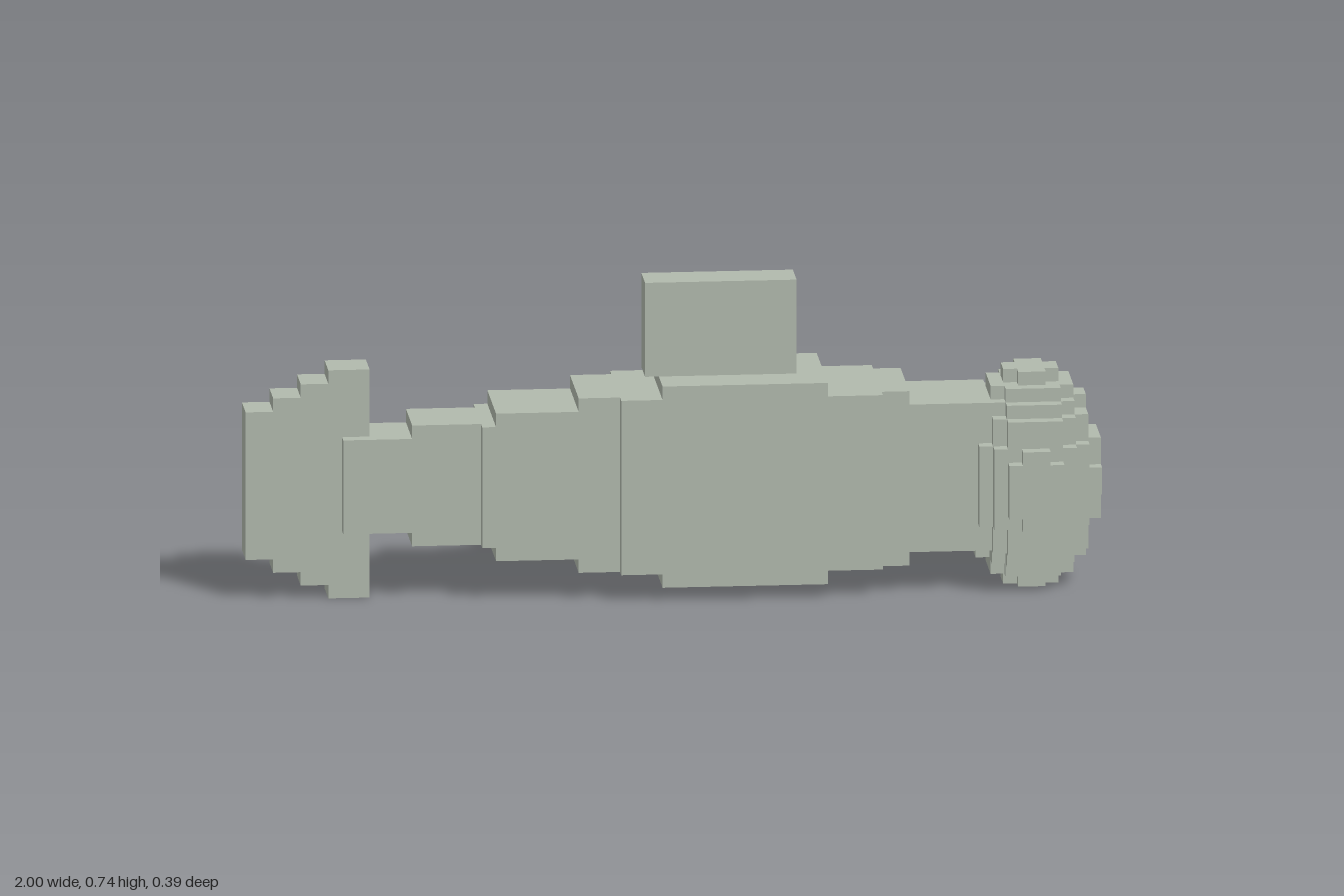
import * as THREE from 'three';
import { mergeGeometries } from 'three/addons/utils/BufferGeometryUtils.js';

// Everything sits on a block grid, 62 blocks long; x counts from the tail tip.
const U = 2 / 62;
const MID = 31;

function makeMaterial(name, color) {
  const m = new THREE.MeshStandardMaterial({ color });
  m.name = name;
  return m;
}

// Box between two grid corners
function block(x0, x1, y0, y1, z0, z1) {
  const g = new THREE.BoxGeometry((x1 - x0) * U, (y1 - y0) * U, (z1 - z0) * U);
  g.translate(((x0 + x1) / 2 - MID) * U, ((y0 + y1) / 2) * U, ((z0 + z1) / 2) * U);
  return g;
}

const inEye = (x, y, z) => x >= 56 && x < 59 && y >= 9 && y < 12 && z >= -6 && z < -4;
const inHead = (x, y, z) =>
  ((x - 56.5) / 5) ** 2 + ((y - 7.5) / 8) ** 2 + ((z + 0.5) / 6) ** 2 < 1;

// Outer faces of the blocky egg-shaped head
function headGeometry() {
  const dirs = [[1, 0, 0], [-1, 0, 0], [0, 1, 0], [0, -1, 0], [0, 0, 1], [0, 0, -1]];
  const faces = dirs.map(([dx, dy, dz]) => {
    const g = new THREE.PlaneGeometry(U, U);
    if (dx) g.rotateY(dx * Math.PI / 2);
    else if (dy) g.rotateX(-dy * Math.PI / 2);
    else if (dz < 0) g.rotateY(Math.PI);
    return g.translate(dx * U / 2, dy * U / 2, dz * U / 2);
  });
  const parts = [];
  for (let x = 52; x < 62; x++)
    for (let y = 0; y < 16; y++)
      for (let z = -6; z < 6; z++) {
        if (!inHead(x, y, z) || inEye(x, y, z)) continue;
        dirs.forEach(([dx, dy, dz], i) => {
          const n = [x + dx, y + dy, z + dz];
          if (inHead(...n) || inEye(...n)) return;
          parts.push(faces[i].clone().translate((x + 0.5 - MID) * U, (y + 0.5) * U, (z + 0.5) * U));
        });
      }
  return mergeGeometries(parts);
}

// Thin upright stripe with clipped corners
function stripeGeometry(x0, x1, y0, y1, z, bevel) {
  const b = bevel;
  const pts = [
    [x0 + b, y0], [x1 - b, y0], [x1, y0 + 2 * b], [x1, y1 - 2 * b],
    [x1 - b, y1], [x0 + b, y1], [x0, y1 - 2 * b], [x0, y0 + 2 * b],
  ].map(([x, y]) => new THREE.Vector2((x - MID) * U, y * U));
  const g = new THREE.ExtrudeGeometry(new THREE.Shape(pts), { depth: 0.005, bevelEnabled: false });
  return g.translate(0, 0, z * U - 0.004);
}

export function createModel() {
  const model = new THREE.Group();
  model.name = 'blockFish';
  const skin = makeMaterial('greyGreenSkin', 0xb1b9ad);
  const blue = makeMaterial('blueStripe', 0x364c70);
  const dark = makeMaterial('darkEye', 0x222c23);
  const white = makeMaterial('eyeGlint', 0xe4e8e2);

  const add = (parent, name, geometry, material) => {
    const mesh = new THREE.Mesh(geometry, material);
    mesh.name = name;
    parent.add(mesh);
  };
  const group = (name) => {
    const g = new THREE.Group();
    g.name = name;
    model.add(g);
    return g;
  };

  // Body slices: x0, x1, y0, y1, z0, z1
  const body = group('body');
  [
    [7, 12, 5, 12, -3, 2],
    [12, 17, 4, 13, -3, 2],
    [17, 18, 4, 13, -4, 3],
    [18, 24, 3, 14, -4, 3],
    [24, 27, 2, 15, -4, 3],
    [27, 30, 2, 15, -5, 4],
    [30, 42, 1, 16, -5, 4],
    [42, 46, 2, 15, -5, 4],
    [46, 48, 2, 15, -4, 3],
    [48, 54, 3, 14, -4, 3],
  ].forEach((s) => add(body, 'bodySection', block(...s), skin));

  // Tail fin, stepped at its outer corners
  const tail = group('tailFin');
  [[0, 2, 3], [2, 4, 2], [4, 6, 1], [6, 9, 0]].forEach(([x0, x1, y]) =>
    add(tail, 'tailStep', block(x0, x1, y, 17 - y, -2, 1), skin));

  add(model, 'backFin', block(29, 40, 16, 23, -2, 1), skin);
  add(model, 'head', headGeometry(), skin);

  // Single eye with a small cross-shaped glint
  const eye = group('eye');
  add(eye, 'eyeBlock', block(56, 59, 9, 12, -6, -4), dark);
  add(eye, 'glintBar', block(57.1, 57.9, 10.4, 10.6, -6.1, -5.95), white);
  add(eye, 'glintPost', block(57.4, 57.6, 10.1, 10.9, -6.12, -5.95), white);

  // Stripes along one flank: x0, x1, y0, y1, surface z, corner clip
  const stripes = group('stripes');
  [
    [18, 20, 6, 11, -4, 0.45],
    [23, 25, 5.5, 11.7, -4, 0.45],
    [28, 30, 5.3, 12.1, -5, 0.45],
    [33, 35, 5.3, 12.1, -5, 0.45],
    [38, 40, 5.3, 12.1, -5, 0.45],
    [43, 45, 5.3, 12.1, -5, 0.45],
    [48, 49, 6.8, 10.8, -4, 0.02],
  ].forEach((s) => add(stripes, 'stripe', stripeGeometry(...s), blue));

  return model;
}
